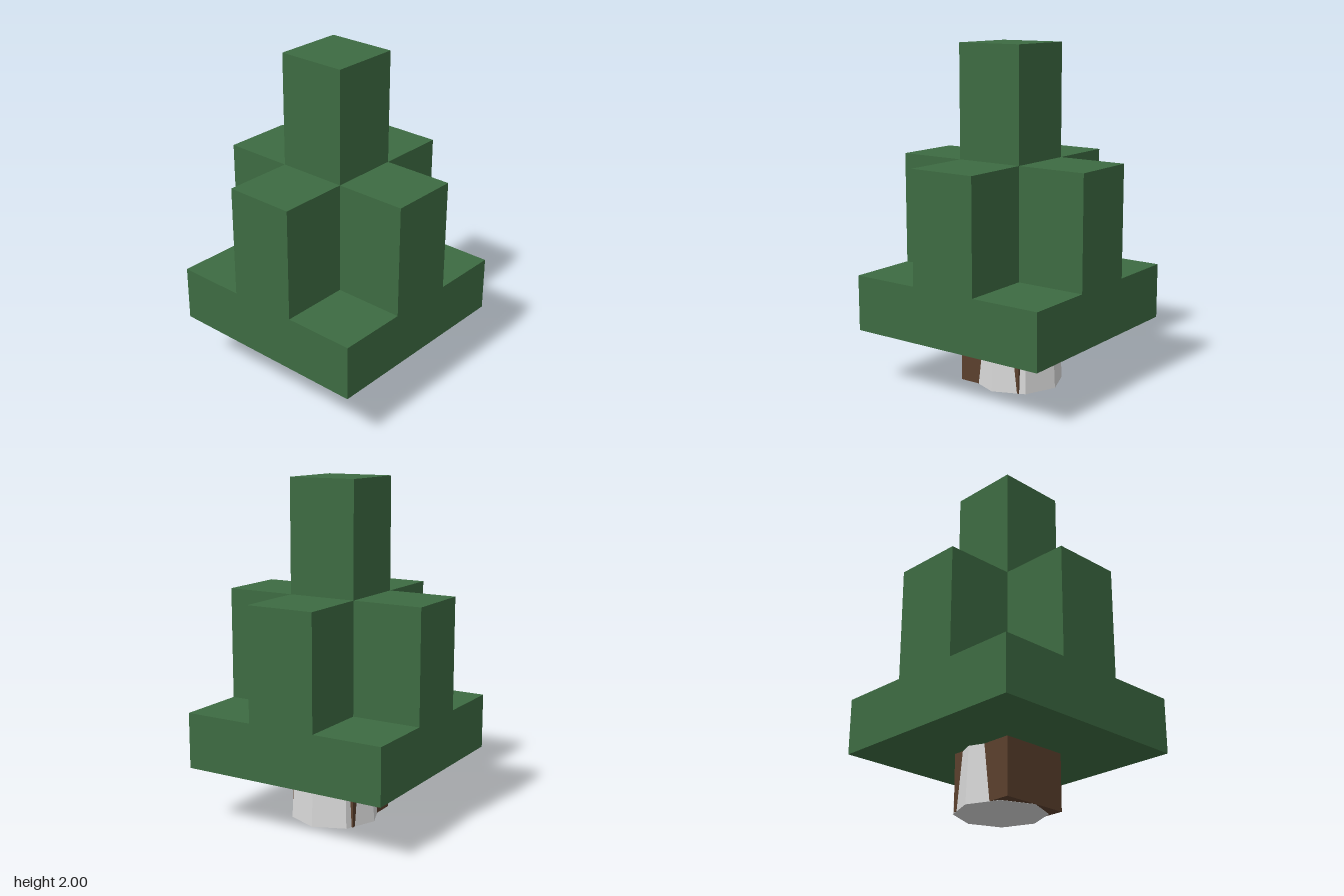
import * as THREE from 'three';

const material = (name, color) => {
  const m = new THREE.MeshStandardMaterial({ color });
  m.name = name;
  return m;
};

export function createModel() {
  const green = material('leaf green', 0x3d6b42);
  const brown = material('bark brown', 0x5b402d);
  const grey = material('light grey', 0xd8d8d8);
  grey.flatShading = true;

  const model = new THREE.Group();
  model.name = 'blockTree';
  const add = (name, geometry, mat, x, y, z) => {
    const mesh = new THREE.Mesh(geometry, mat);
    mesh.name = name;
    mesh.position.set(x, y, z);
    model.add(mesh);
  };
  const block = (name, width, y0, y1, mat, offset = 0) =>
    add(name, new THREE.BoxGeometry(width, y1 - y0, width), mat, offset, (y0 + y1) / 2, offset);

  const half = 0.633, arm = 0.209, shift = -0.002;

  // Square lower foliage and narrow crown
  block('lowerFoliage', half * 2, 0.337, 0.667, green);
  block('crown', arm * 2, 1.333, 2, green, shift);

  // Plus-shaped middle foliage
  const a = shift - arm, b = shift + arm;
  const plus = new THREE.Shape([
    [a, -half], [b, -half], [b, a], [half, a], [half, b], [b, b],
    [b, half], [a, half], [a, b], [-half, b], [-half, a], [a, a],
  ].map(([x, y]) => new THREE.Vector2(x, -y)).reverse());
  const middle = new THREE.ExtrudeGeometry(plus, { depth: 0.666, bevelEnabled: false });
  middle.rotateX(-Math.PI / 2);
  add('middleFoliage', middle, green, 0, 0.667, 0);

  // Square trunk, just clear of the ground so the round base shows beneath
  block('trunk', arm * 2, 0.001, 0.337, brown, shift);

  // Tapered eight-sided post set off-centre through the trunk
  const post = new THREE.CylinderGeometry(0.247, 0.265, 0.34, 8);
  add('post', post, grey, 0.055, 0.17, 0);

  return model;
}
